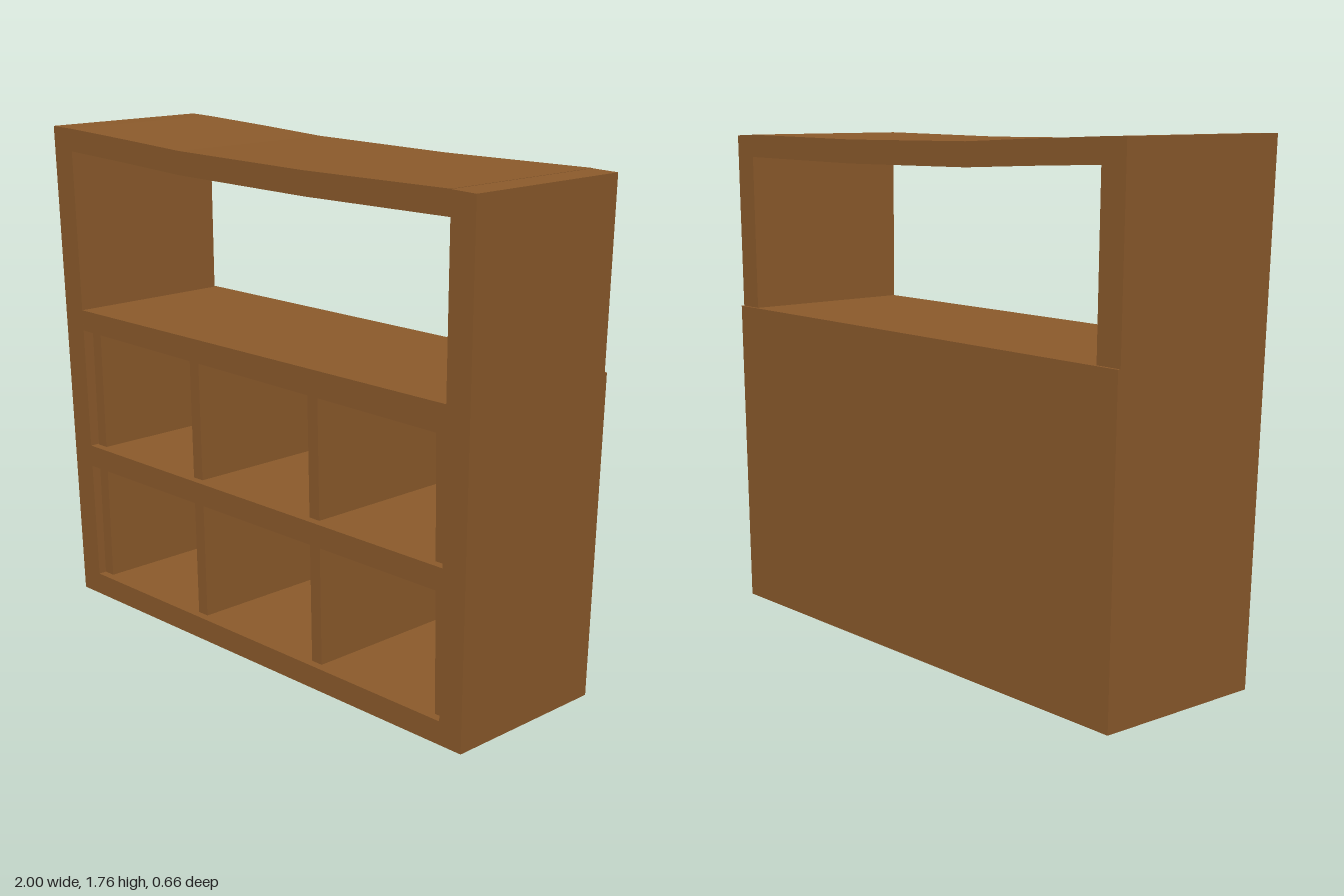
import * as THREE from 'three';

const BACK = -0.317;
// The front leans slightly forward with height
const frontAt = (y) => 0.287 + 0.04 * (y / 1.755);

export function createModel() {
  const group = new THREE.Group();
  group.name = 'shelfUnit';
  const wood = new THREE.MeshStandardMaterial({ color: 0x8b5a2b });
  wood.name = 'brown wood';

  // Board with an x-y outline, running from the back to the leaning front
  function board(name, outline, back = BACK, front = frontAt) {
    const shape = new THREE.Shape(outline.map(([x, y]) => new THREE.Vector2(x, y)));
    const geo = new THREE.ExtrudeGeometry(shape, { depth: 1, bevelEnabled: false });
    const p = geo.attributes.position;
    for (let i = 0; i < p.count; i++) {
      p.setZ(i, p.getZ(i) > 0.5 ? front(p.getY(i)) : back);
    }
    geo.computeVertexNormals();
    const mesh = new THREE.Mesh(geo, wood);
    mesh.name = name;
    group.add(mesh);
  }

  // Side panels, splayed outwards
  board('rightSide', [[-0.965, 0], [-0.87, 0], [-0.9, 1.755], [-1, 1.757]]);
  board('leftSide', [[0.863, 0], [0.953, 0], [0.995, 1.725], [0.9, 1.728]]);

  // Sagging top board
  const sag = [[-0.9, 1.755], [-0.6, 1.743], [-0.3, 1.729], [0, 1.726], [0.3, 1.723], [0.6, 1.726], [0.9, 1.729]];
  board('topBoard', [...sag.map(([x, y]) => [x, y - 0.08]), ...sag.slice().reverse()]);

  // Shelves
  board('bottomShelf', [[-0.87, 0], [0.863, 0], [0.865, 0.08], [-0.872, 0.08]]);
  board('middleShelf', [[-0.879, 0.508], [0.875, 0.508], [0.877, 0.587], [-0.881, 0.587]]);
  board('upperShelf', [[-0.887, 1.025], [0.887, 1.005], [0.889, 1.1], [-0.889, 1.1]]);

  // Upright dividers, set back a little from the shelf fronts
  const inset = (y) => frontAt(y) - 0.03;
  for (const x of [-0.872, -0.32, 0.266, 0.82]) {
    const x1 = x + 0.046;
    const under = (v) => 1.015 - 0.0113 * v;
    board('lowerDivider', [[x, 0.08], [x1, 0.08], [x1, 0.508], [x, 0.508]], BACK, inset);
    board('upperDivider', [[x, 0.587], [x1, 0.587], [x1, under(x1)], [x, under(x)]], BACK, inset);
  }

  // Back panel behind the compartments
  board('backPanel', [[-0.965, 0], [0.953, 0], [0.98, 1.1], [-0.988, 1.1]], -0.328, () => BACK);

  return group;
}
